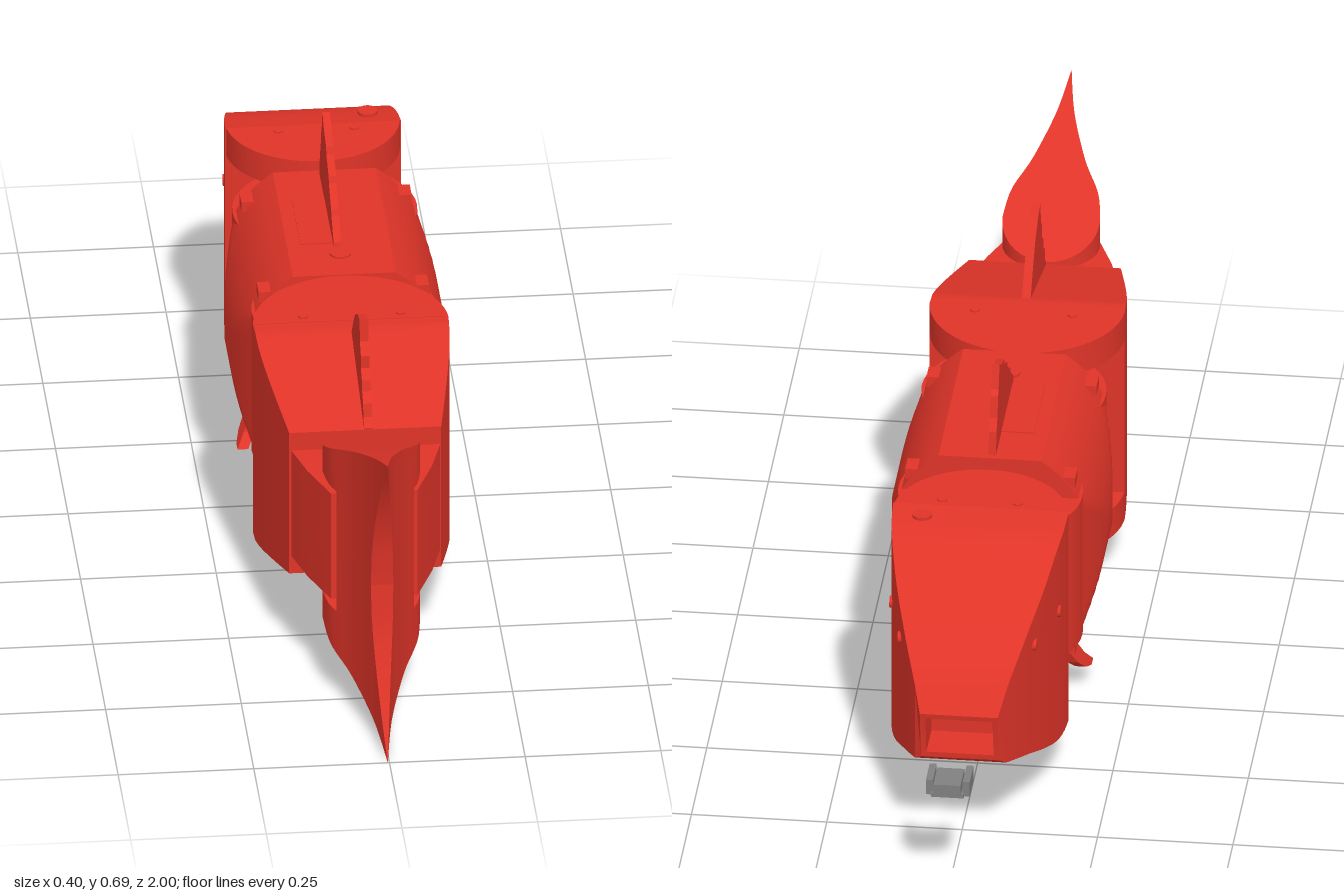
import * as THREE from 'three';
import { toCreasedNormals } from 'three/addons/utils/BufferGeometryUtils.js';

const red = new THREE.MeshStandardMaterial({ color: 0xe03428, side: THREE.DoubleSide });
const grey = new THREE.MeshStandardMaterial({ color: 0x808080 });
const MID = 0.31; // height of the swimming axis

export function createModel() {
  const model = new THREE.Group();

  const add = (name, geometry, x = 0, y = 0, z = 0, material = red) => {
    const mesh = new THREE.Mesh(geometry, material);
    mesh.name = name;
    mesh.position.set(x, y, z);
    model.add(mesh);
    return mesh;
  };
  const box = (name, w, h, d, x, y, z, material) => add(name, new THREE.BoxGeometry(w, h, d), x, y, z, material);
  const disc = (name, r, h, x, y, z) => add(name, new THREE.CylinderGeometry(r, r, h, 48), x, y, z);

  // Skin over convex rings of [x, y, z], counter-clockwise seen from +z
  const loft = (rings) => {
    const n = rings[0].length, pos = [];
    const tri = (a, b, c) => pos.push(...a, ...b, ...c);
    for (let i = 0; i + 1 < rings.length; i++) {
      for (let k = 0; k < n; k++) {
        const l = (k + 1) % n;
        tri(rings[i][k], rings[i][l], rings[i + 1][l]);
        tri(rings[i][k], rings[i + 1][l], rings[i + 1][k]);
      }
    }
    const first = rings[0], last = rings[rings.length - 1];
    for (let k = 1; k + 1 < n; k++) {
      tri(first[0], first[k + 1], first[k]);
      tri(last[0], last[k], last[k + 1]);
    }
    const g = new THREE.BufferGeometry();
    g.setAttribute('position', new THREE.Float32BufferAttribute(pos, 3));
    return toCreasedNormals(g, 0.5);
  };

  // Rectangular stations [z, half width, bottom, top, z of bottom edge]
  const slab = (stations) => loft(stations.map(([z, w, lo, hi, zLo = z]) =>
    [[-w, lo, zLo], [w, lo, zLo], [w, hi, z], [-w, hi, z]]));

  // Smooth interpolation through [z, value] points
  const through = (points) => {
    const curve = new THREE.SplineCurve(points.map((p) => new THREE.Vector2(...p)));
    const samples = curve.getPoints(120);
    return (z) => {
      const i = Math.max(1, samples.findIndex((p) => p.x >= z - 1e-6));
      const a = samples[i - 1], b = samples[i];
      return a.y + (b.y - a.y) * THREE.MathUtils.clamp((z - a.x) / (b.x - a.x), 0, 1);
    };
  };
  const range = (a, b, n) => Array.from({ length: n + 1 }, (_, i) => a + (b - a) * i / n);
  const arc = (z, centre, r) => r * Math.sqrt(Math.max(0, 1 - ((z - centre) / r) ** 2));

  // Bulging middle hull
  const hullRing = (z) => {
    const limit = 0.165 + 0.035 * (1 - ((z + 0.1) / 0.2) ** 2);
    const right = range(-0.22, 0.22, 28).map((dy) =>
      [Math.min(limit, 0.2 * Math.sqrt(1 - (dy / 0.25) ** 2)), MID + dy, z]);
    return [...right, ...right.map(([x, y]) => [-x, y, z]).reverse()];
  };
  add('hull', loft(range(-0.3, 0.1, 20).map(hullRing)));

  // Rounded necks, joint hubs and clips at both ends of the hull
  for (const [centre, hubZ, clipZ] of [[0.09, 0.18, 0.07], [-0.29, -0.4, -0.275]]) {
    disc('neck', 0.17, 0.29, 0, MID, centre);
    disc('jointHub', 0.06, 0.35, 0, MID, hubZ);
    for (const side of [-1, 1]) {
      for (const up of [-1, 1]) box('hullClip', 0.03, 0.02, 0.04, side * 0.142, MID + up * 0.175, clipZ);
    }
  }
  box('hatch', 0.07, 0.006, 0.18, -0.035, 0.529, -0.11);
  disc('plug', 0.02, 0.008, 0, 0.53, 0.02);

  // Head with an open mouth: inner recess first, then the outer skin
  const headW = through([[-0.84, 0.072], [-0.75, 0.108], [-0.65, 0.138], [-0.55, 0.157], [-0.48, 0.162]]);
  const headTop = through([[-0.84, 0.29], [-0.8, 0.345], [-0.73, 0.41], [-0.65, 0.465], [-0.57, 0.508], [-0.48, 0.528]]);
  const headLow = through([[-0.84, 0.19], [-0.73, 0.155], [-0.65, 0.125], [-0.57, 0.1], [-0.48, 0.09]]);
  const head = add('head', slab([
    [-0.74, 0.062, 0.2, 0.28],
    [-0.838, 0.062, 0.2, 0.28, -0.82],
    [-0.84, 0.072, 0.19, 0.29, -0.82],
    ...range(-0.81, -0.48, 22).map((z) => [z, headW(z), headLow(z), headTop(z)]),
  ]), -0.004);
  head.updateMatrix();

  // Rear segment, sloping down towards the tail
  const rearW = through([[0.27, 0.18], [0.35, 0.175], [0.45, 0.16], [0.56, 0.14]]);
  const drop = (z) => Math.max(0, z - 0.3) * 0.27;
  add('rearSegment', slab([0.27, 0.285, 0.3, ...range(0.32, 0.56, 12)].map((z) =>
    [z, rearW(z), 0.093 + drop(z), 0.527 - drop(z)])), -0.004);
  add('tailTongue', slab([[0.55, 0.14, 0.2, 0.42], [0.64, 0.115, 0.2, 0.42], [0.73, 0.08, 0.2, 0.42]]), -0.003);
  disc('tailHub', 0.045, 0.27, -0.003, MID, 0.645);

  // Fork plates gripping the necks from above and below
  const headFork = range(0, Math.PI / 2, 20).map((a) => -0.5 + 0.16 * Math.sin(a)).filter((z) => z > -0.48);
  const rearFork = range(0, Math.PI / 2, 20).map((a) => 0.28 - 0.18 * Math.cos(a)).filter((z) => z < 0.27);
  for (const [lo, hi] of [[0.092, 0.15], [0.47, 0.528]]) {
    add('headFork', slab([-0.48, ...headFork].map((z) => [z, arc(z, -0.5, 0.161), lo, hi])), -0.004);
    add('rearFork', slab([...rearFork, 0.27].map((z) => [z, arc(z, 0.28, 0.18), lo, hi])), -0.004);
  }

  // Tail fin: two mirrored lobes meeting on the axis
  const finEdge = through([[0.58, 0.14], [0.7, 0.192], [0.85, 0.255], [1, 0.31]]);
  const finTaper = through([[0.67, 0.09], [0.73, 0.08], [0.8, 0.048], [0.9, 0.017], [1, 0]]);
  const finW = (z) => (z < 0.67 ? arc(z, 0.67, 0.09) : finTaper(z));
  const finInner = (z) => (z <= 0.75 ? 0.125 : z <= 0.885 ? 0 : 0.31 * Math.sqrt((z - 0.885) / 0.115));
  const finZ = [...range(0, 1, 8).map((t) => 0.58 + 0.09 * t * t), ...range(0.69, 0.75, 4), 0.751, ...range(0.77, 0.885, 8), ...range(0.89, 1, 16)];
  for (const up of [-1, 1]) {
    add('tailLobe', slab(finZ.map((z) => {
      const inner = Math.min(finInner(z), finEdge(z)), outer = finEdge(z);
      return up > 0 ? [z, finW(z), MID + inner, MID + outer] : [z, finW(z), MID - outer, MID - inner];
    })), -0.003);
  }

  // Thin fins drawn as [z, y] outlines and extruded along x
  const blade = (name, points, thickness, x) => {
    const shape = new THREE.Shape(points.map(([z, y]) => new THREE.Vector2(-z, y)));
    const g = new THREE.ExtrudeGeometry(shape, { depth: thickness, bevelEnabled: false });
    g.translate(0, 0, -thickness / 2).rotateY(Math.PI / 2);
    return add(name, g, x);
  };
  blade('dorsalFin', [[0, 0.52], [-0.005, 0.54], [-0.05, 0.572], [-0.055, 0.582], [-0.1, 0.612], [-0.105, 0.624],
    [-0.15, 0.645], [-0.155, 0.658], [-0.2, 0.672], [-0.23, 0.69], [-0.245, 0.645], [-0.255, 0.635],
    [-0.265, 0.595], [-0.28, 0.575], [-0.29, 0.52]], 0.014, -0.003);
  blade('rearDorsalFin', [[0.56, 0.44], [0.56, 0.46], [0.545, 0.475], [0.54, 0.5], [0.52, 0.515], [0.515, 0.535],
    [0.495, 0.55], [0.495, 0.575], [0.475, 0.595], [0.47, 0.637], [0.43, 0.628], [0.38, 0.6], [0.34, 0.56],
    [0.3, 0.515]], 0.016, 0.002);
  blade('analFin', [[0.56, 0.18], [0.56, 0.155], [0.535, 0.142], [0.53, 0.122], [0.505, 0.11], [0.5, 0.092],
    [0.475, 0.08], [0.47, 0.06], [0.4, 0.07], [0.34, 0.087], [0.3, 0.1]], 0.016, 0.002);

  // Curved pectoral fins, sheared outwards as they go down
  for (const side of [-1, 1]) {
    const fin = blade('pectoralFin', [[-0.185, 0.14], [-0.245, 0.14], [-0.242, 0.1], [-0.23, 0.07], [-0.205, 0.048],
      [-0.175, 0.036], [-0.15, 0.036], [-0.172, 0.06], [-0.182, 0.09]], 0.02, side * 0.128 - 0.006);
    const p = fin.geometry.attributes.position;
    for (let i = 0; i < p.count; i++) p.setX(i, p.getX(i) + side * (0.09 - p.getY(i)) * 0.55);
    fin.geometry.computeVertexNormals();
  }

  // Screw heads on the head and rear segment
  for (const [x, z, r] of [[-0.07, -0.46, 0.009], [0.07, -0.46, 0.009], [0.1, -0.52, 0.018],
    [-0.09, 0.25, 0.009], [0.09, 0.25, 0.009]]) disc('screw', r, 0.006, x, 0.528, z);
  for (const side of [-1, 1]) {
    for (const z of [-0.57, -0.7]) {
      disc('sideScrew', 0.011, 0.008, side * headW(z) - 0.004, 0.37, z).rotation.z = Math.PI / 2;
    }
  }

  // Small grey camera unit ahead of the mouth
  box('cameraBody', 0.05, 0.022, 0.065, 0, 0.222, -0.967, grey);
  box('cameraBase', 0.06, 0.008, 0.07, 0, 0.206, -0.955, grey);
  for (const side of [-1, 1]) box('cameraArm', 0.013, 0.03, 0.062, side * 0.034, 0.218, -0.952, grey);
  box('cameraLens', 0.03, 0.016, 0.02, 0, 0.226, -0.99, grey);

  return model;
}
